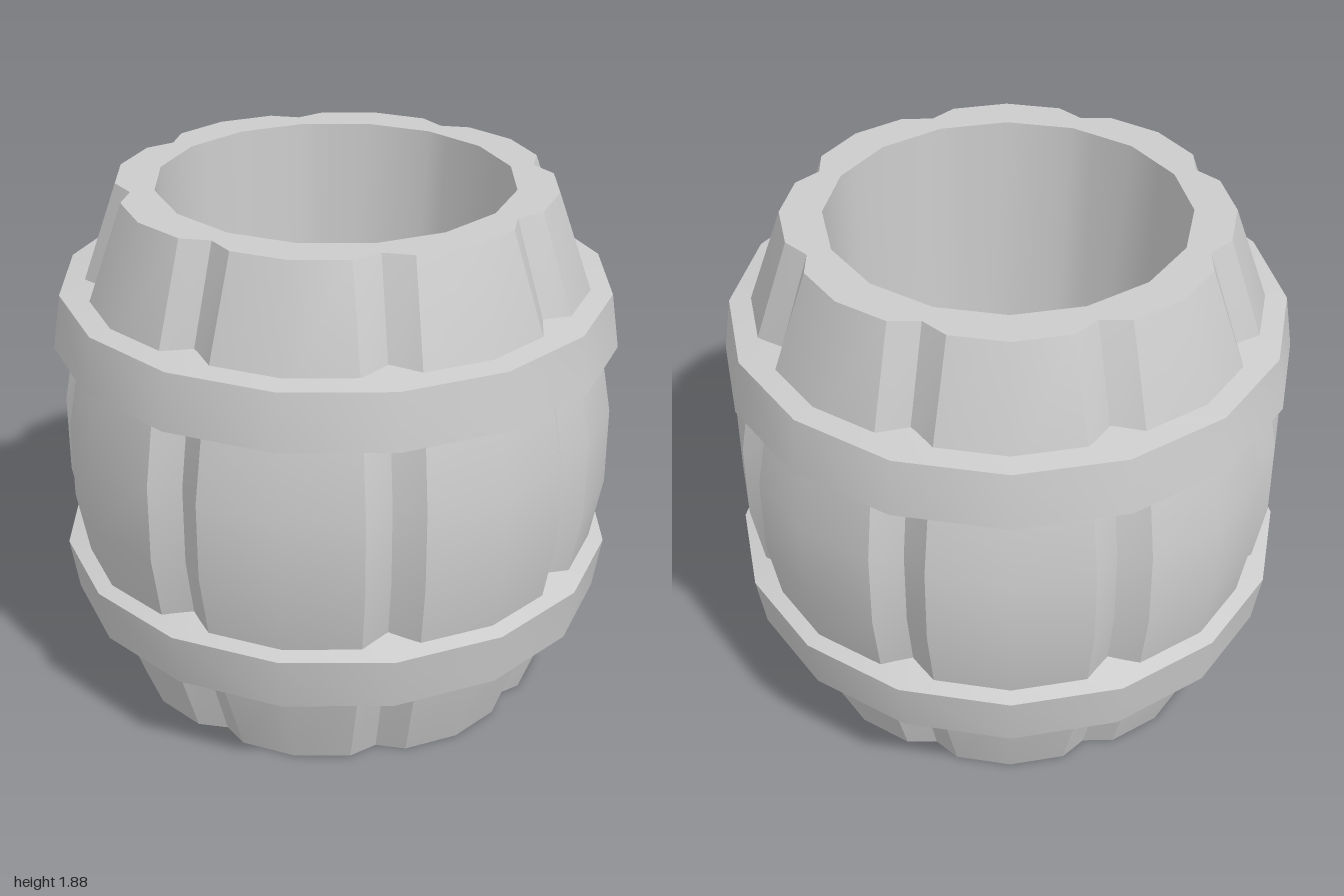
import * as THREE from 'three';
import { toCreasedNormals } from 'three/addons/utils/BufferGeometryUtils.js';

const HEIGHT = 1.88, SIDES = 16, GROOVES = 8, HALF_GROOVE = 0.1;
const material = new THREE.MeshStandardMaterial({ color: 0xcccccc });

function addMesh(parent, name, geometry) {
  const mesh = new THREE.Mesh(geometry, material);
  mesh.name = name;
  parent.add(mesh);
  return mesh;
}

// One cross-section: a 16-sided ring, optionally notched by eight V grooves.
function ring(r, y, grooved) {
  const pts = [];
  const step = (Math.PI * 2) / GROOVES;
  const slope = Math.tan(Math.PI / SIDES);
  const half = grooved ? HALF_GROOVE : HALF_GROOVE * r / 0.77;
  for (let g = 0; g < GROOVES; g++) {
    const a = g * step, s = Math.sin(a), c = Math.cos(a);
    // (u across the groove, v outwards) turned to the groove's angle
    const put = (u, v) => pts.push([u * c + v * s, y, v * c - u * s]);
    put(-half, r - half * slope);
    put(0, grooved ? r * 0.92 : r);
    put(half, r - half * slope);
    put(r * Math.sin(step / 2), r * Math.cos(step / 2));
  }
  return pts;
}

// Skin a series of cross-sections.
function loft(rings) {
  const pos = [];
  for (let j = 0; j < rings.length - 1; j++) {
    const lo = rings[j], hi = rings[j + 1], n = lo.length;
    for (let i = 0; i < n; i++) {
      const k = (i + 1) % n;
      pos.push(...lo[i], ...lo[k], ...hi[k], ...lo[i], ...hi[k], ...hi[i]);
    }
  }
  const geo = new THREE.BufferGeometry();
  geo.setAttribute('position', new THREE.Float32BufferAttribute(pos, 3));
  return toCreasedNormals(geo, 0.5);
}

export function createModel() {
  const barrel = new THREE.Group();
  barrel.name = 'barrel';

  // Staves: bottom recess, bulging grooved outside, rim and hollow inside
  addMesh(barrel, 'staves', loft([
    ring(0.53, 0.11, false),
    ring(0.59, 0, false),
    ring(0.77, 0, true),
    ring(0.92, 0.42, true),
    ring(0.988, 0.8, true),
    ring(0.988, HEIGHT - 0.8, true),
    ring(0.92, HEIGHT - 0.42, true),
    ring(0.77, HEIGHT, true),
    ring(0.625, HEIGHT, false),
    ring(0.58, 0.17, false),
  ]));

  // Floor seen from inside, and the recessed head underneath
  const floor = addMesh(barrel, 'innerFloor', new THREE.CircleGeometry(0.58, SIDES));
  floor.rotation.x = -Math.PI / 2;
  floor.position.y = 0.17;
  const head = addMesh(barrel, 'bottomHead', new THREE.CircleGeometry(0.53, SIDES));
  head.rotation.x = Math.PI / 2;
  head.position.y = 0.11;

  // Hoops: wider towards the middle, the lower one mirrors the upper
  const upper = [[0.8, 1.27], [1.0, 1.33], [0.97, 1.525], [0.8, 1.55], [0.8, 1.27]];
  const lower = upper.map(([r, y]) => [r, HEIGHT - y]).reverse();
  for (const [name, profile] of [['upperHoop', upper], ['lowerHoop', lower]]) {
    const lathe = new THREE.LatheGeometry(profile.map(p => new THREE.Vector2(...p)), SIDES);
    addMesh(barrel, name, toCreasedNormals(lathe, 0.5));
  }
  return barrel;
}
